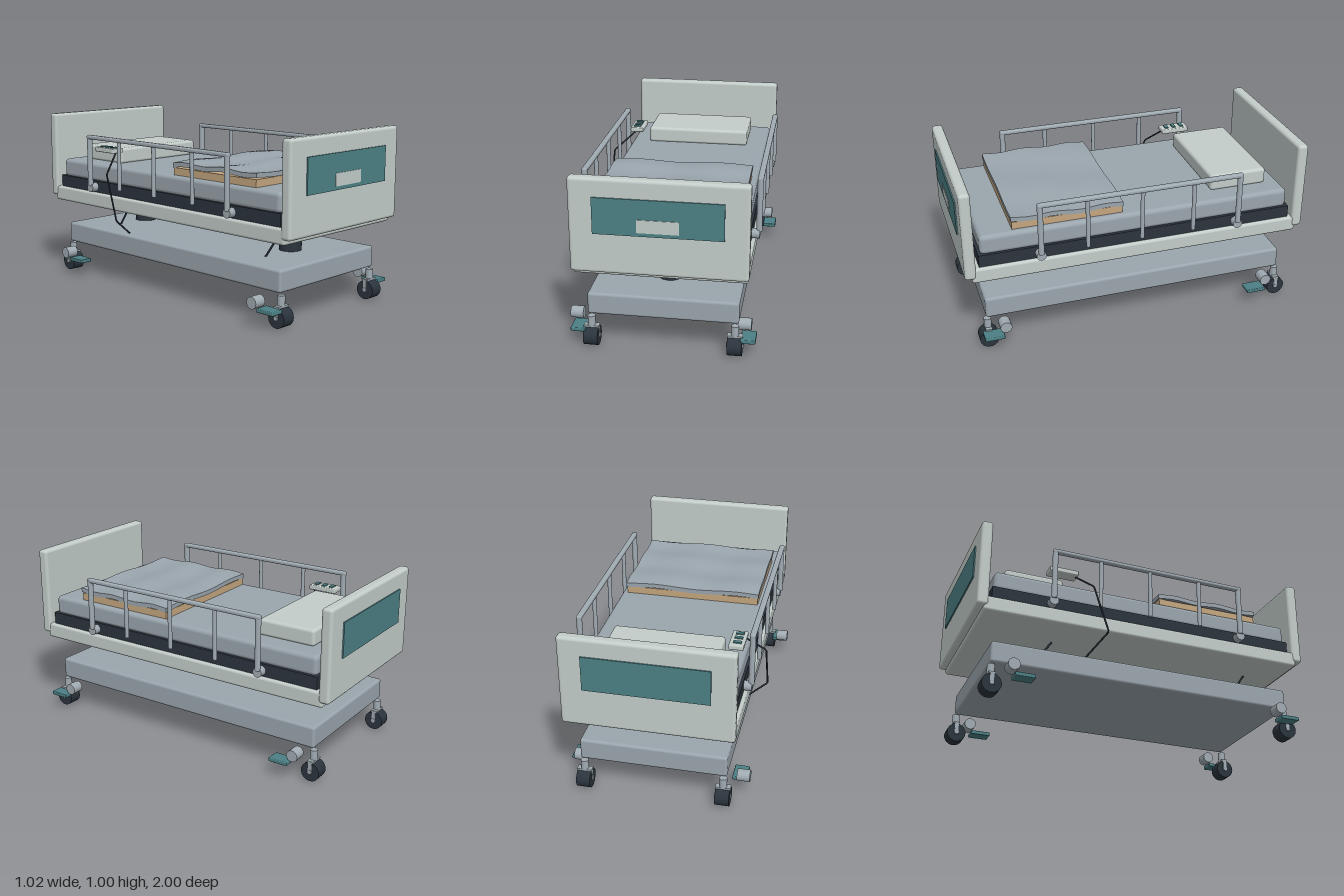
import * as THREE from 'three';
import { RoundedBoxGeometry } from 'three/addons/geometries/RoundedBoxGeometry.js';

const CX = 0.015; // bed centre line

export function createModel() {
  const mat = (name, color) => {
    const m = new THREE.MeshStandardMaterial({ color });
    m.name = name;
    return m;
  };
  const shell = mat('paleShell', 0xc3cdca);
  const grey = mat('greyVinyl', 0x9aa5ad);
  const steel = mat('steel', 0xa0abb2);
  const dark = mat('darkRubber', 0x2b343d);
  const teal = mat('teal', 0x4c8085);
  const tan = mat('tanBlanket', 0xc4a67f);

  const bed = new THREE.Group();
  bed.name = 'hospitalBed';

  const add = (name, geo, material, x, y, z, parent = bed) => {
    const m = new THREE.Mesh(geo, material);
    m.name = name;
    m.position.set(x, y, z);
    parent.add(m);
    return m;
  };
  // Box given by its min and max on each axis, optionally rounded
  const box = (name, material, [x0, x1], [y0, y1], [z0, z1], r = 0, parent = bed) => {
    const s = [x1 - x0, y1 - y0, z1 - z0];
    const geo = r ? new RoundedBoxGeometry(...s, 3, r) : new THREE.BoxGeometry(...s);
    return add(name, geo, material, (x0 + x1) / 2, (y0 + y1) / 2, (z0 + z1) / 2, parent);
  };
  const cyl = (name, material, r, len, x, y, z, axis = 'y', parent = bed) => {
    const geo = new THREE.CylinderGeometry(r, r, len, 24);
    if (axis === 'x') geo.rotateZ(Math.PI / 2);
    if (axis === 'z') geo.rotateX(Math.PI / 2);
    return add(name, geo, material, x, y, z, parent);
  };
  const tube = (name, points, r) => {
    const path = new THREE.CurvePath();
    const p = points.map((q) => new THREE.Vector3(...q));
    for (let i = 1; i < p.length; i++) path.add(new THREE.LineCurve3(p[i - 1], p[i]));
    return add(name, new THREE.TubeGeometry(path, 48, r, 8), dark, 0, 0, 0);
  };

  // Base, frame, deck and mattress
  box('base', grey, [-0.39, 0.42], [0.183, 0.306], [-0.885, 0.885], 0.015);
  box('frame', shell, [-0.44, 0.47], [0.452, 0.54], [-0.95, 0.95], 0.015);
  box('deck', dark, [-0.42, 0.45], [0.535, 0.61], [-0.907, 0.907]);
  box('mattress', grey, [-0.41, 0.44], [0.602, 0.715], [-0.895, 0.895], 0.025);
  box('pillow', shell, [-0.3, 0.32], [0.71, 0.805], [-0.81, -0.47], 0.018);

  // Lifting columns with their slanted struts
  for (const z of [0.61, -0.61]) {
    cyl('columnSleeve', dark, 0.064, 0.13, CX, 0.368, z);
    cyl('columnPiston', steel, 0.057, 0.15, CX, 0.385, z);
    tube('strut', [[-0.207, 0.443, z + 0.11], [-0.207, 0.3, z + 0.01]], 0.006);
  }

  // Footboard and headboard with inset panels
  for (const s of [1, -1]) {
    const span = (a, b) => (s > 0 ? [a, b] : [-b, -a]);
    box(s > 0 ? 'footboard' : 'headboard', shell, [-0.445, 0.475], [0.48, 0.995], span(0.927, 0.99), 0.018);
    box('boardPanel', teal, [-0.32, 0.35], [0.7, 0.896], span(0.988, 0.997));
  }
  box('namePlate', shell, [-0.092, 0.123], [0.72, 0.79], [0.995, 1]);

  // Folded blanket: flat under-layer and rippled cover
  box('blanketUnderlayer', tan, [-0.385, 0.405], [0.715, 0.757], [0.09, 0.71]);
  const cover = new THREE.BoxGeometry(0.8, 0.026, 0.63, 32, 1, 32);
  const cp = cover.attributes.position;
  for (let i = 0; i < cp.count; i++) {
    const x = cp.getX(i), z = cp.getZ(i);
    cp.setY(i, cp.getY(i) + 0.005 * Math.sin(z * 22) + 0.005 * Math.sin(x * 13 + z * 4));
  }
  cover.computeVertexNormals();
  add('blanketCover', cover, grey, 0.01, 0.774, 0.4);

  // Side rails
  for (const s of [1, -1]) {
    const x = CX + s * 0.474;
    const rail = new THREE.Group();
    rail.name = s > 0 ? 'leftRail' : 'rightRail';
    bed.add(rail);
    box('topRail', steel, [x - 0.016, x + 0.016], [0.868, 0.893], [-0.587, 0.587], 0.01, rail);
    for (const z of [-0.572, 0.572]) {
      cyl('endPost', steel, 0.016, 0.3, x, 0.735, z, 'y', rail);
      cyl('railPivot', steel, 0.027, 0.05, CX + s * 0.454, 0.572, z, 'x', rail);
    }
    for (const z of [-0.3, 0, 0.31]) cyl('middlePost', steel, 0.012, 0.29, x, 0.73, z, 'y', rail);
  }

  // Castors, brake drums and pedals
  for (const s of [1, -1]) {
    for (const f of [1, -1]) {
      const x = CX + s * 0.385, z = f * 0.877;
      const castor = new THREE.Group();
      castor.name = 'castor';
      bed.add(castor);
      cyl('wheel', dark, 0.054, 0.078, x, 0.054, z, 'x', castor);
      cyl('axle', steel, 0.013, 0.092, x, 0.055, z, 'x', castor);
      cyl('stem', steel, 0.021, 0.062, x, 0.141, z, 'y', castor);
      box('forkTop', steel, [x - 0.041, x + 0.041], [0.107, 0.118], [z - 0.018, z + 0.018], 0, castor);
      for (const k of [-1, 1]) {
        box('forkArm', steel, [x + k * 0.04 - 0.002, x + k * 0.04 + 0.002],
          [0.045, 0.115], [z - 0.011, z + 0.011], 0, castor);
      }
      cyl('brakeDrum', steel, 0.033, 0.07, CX + s * 0.482 - (s > 0 ? 0.052 : 0), 0.138, f * 0.787, 'x', castor);
      const px = CX + s * 0.455, pz = f * 0.787 + 0.07;
      box('brakePedal', teal, [px - 0.04, px + 0.04], [0.086, 0.108], [pz - 0.056, pz + 0.056], 0.005, castor);
    }
  }

  // Hand control with buttons and cable
  box('handControl', shell, [-0.412, -0.33], [0.788, 0.816], [-0.584, -0.415], 0.006);
  for (const z of [-0.546, -0.497, -0.45]) {
    box('controlButton', teal, [-0.395, -0.35], [0.814, 0.822], [z - 0.011, z + 0.011]);
  }
  tube('controlCable', [[-0.38, 0.79, -0.425], [-0.505, 0.68, -0.36], [-0.51, 0.415, -0.272], [-0.34, 0.305, -0.355]], 0.005);

  return bed;
}
